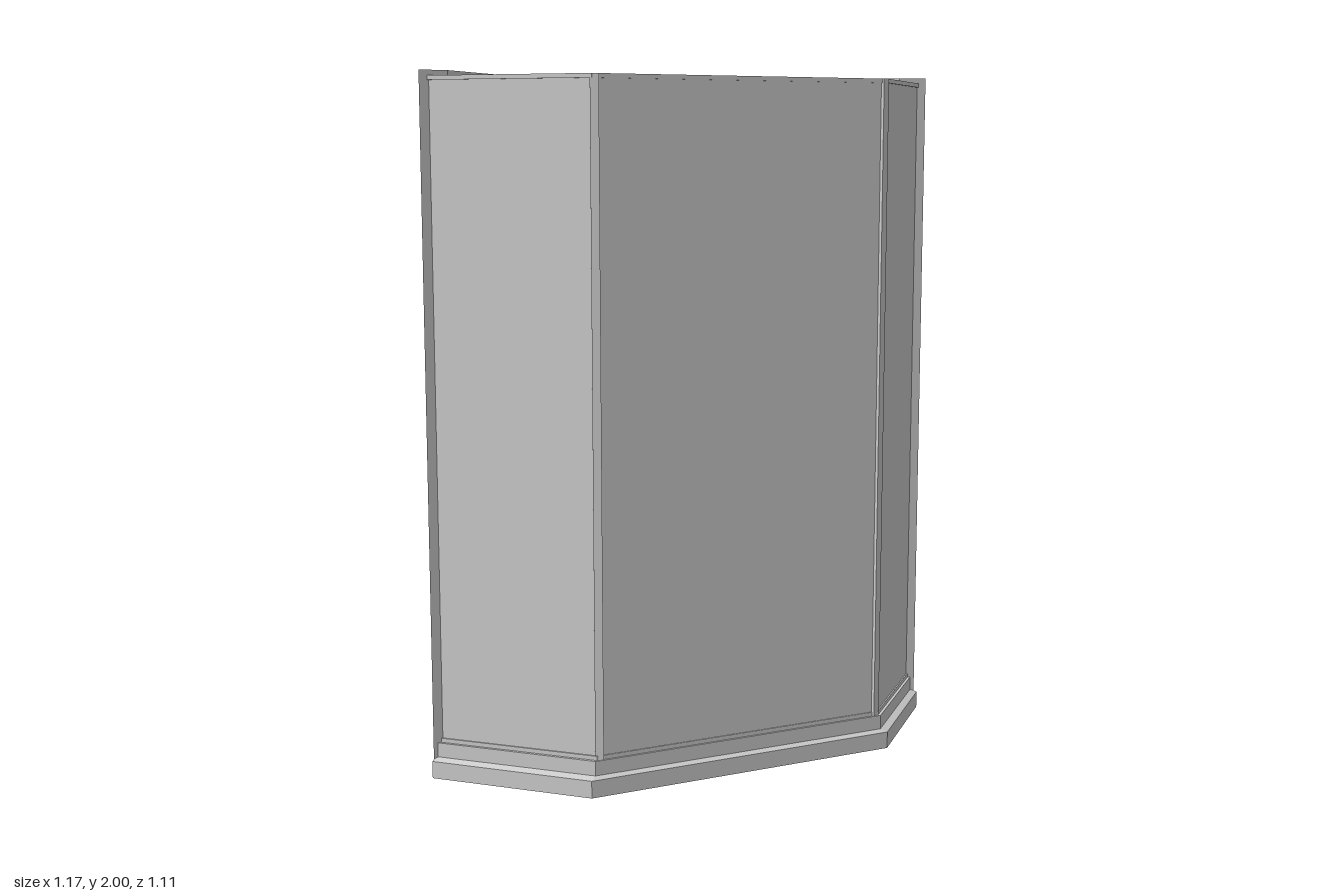
import * as THREE from 'three';

const FLOOR = 0.06, CURB = 0.1, GLASS_TOP = 1.985;
const mat = new THREE.MeshStandardMaterial({ color: 0xcccccc, flatShading: true, side: THREE.DoubleSide });

function mesh(name, geometry) {
  const m = new THREE.Mesh(geometry, mat);
  m.name = name;
  return m;
}

// Vertical prism from a plan outline given as [x, z] pairs.
function prism(points, y0, y1, holes = []) {
  const toPath = (pts) => pts.map(([x, z]) => new THREE.Vector2(x, -z));
  const shape = new THREE.Shape(toPath(points));
  holes.forEach((h) => shape.holes.push(new THREE.Path(toPath(h))));
  const g = new THREE.ExtrudeGeometry(shape, { depth: y1 - y0, bevelEnabled: false });
  return g.rotateX(-Math.PI / 2).translate(0, y0, 0);
}

// The three open sides (front, diagonal, right), moved inward by d.
function openSides(d, inset = 0) {
  const diagonal = 0.453 - d;
  const zB = 0.55 - 1.12 * d, xC = 0.585 - 1.06 * d;
  return [
    [-0.59 + inset, 0.55 - d],
    [diagonal - zB, zB],
    [xC, diagonal - xC],
    [0.585 - d, -0.555 + inset],
  ];
}

// Sweep a closed profile of [inset, height] pairs along the open sides.
function sweep(profile, inset = 0) {
  const rows = profile.map(([d, y]) => openSides(d, inset).map(([x, z]) => [x, y, z]));
  const pos = [];
  rows.forEach((row, i) => {
    const next = rows[(i + 1) % rows.length];
    for (let j = 0; j < 3; j++) {
      pos.push(...row[j], ...row[j + 1], ...next[j + 1], ...row[j], ...next[j + 1], ...next[j]);
    }
  });
  const g = new THREE.BufferGeometry();
  g.setAttribute('position', new THREE.Float32BufferAttribute(pos, 3));
  g.computeVertexNormals();
  return g;
}

const band = (d0, d1, y0, y1) => sweep([[d0, y0], [d0, y1], [d1, y1], [d1, y0]], 0.016);

export function createModel() {
  const group = new THREE.Group();
  group.name = 'cornerShower';

  // Tray: slab, raised floor and the curb with its sloped ledge
  const outer = openSides(0);
  group.add(mesh('traySlab', prism([[-0.59, -0.555], ...outer, [0.585, -0.555]], 0, 0.05)));
  group.add(mesh('trayFloor', prism([[-0.57, -0.535], ...openSides(0.07, 0.02)], 0.05, FLOOR)));
  group.add(mesh('curb', sweep([[0, 0.05], [0.02, 0.058], [0.02, CURB], [0.08, CURB], [0.08, 0.05]])));

  // Two solid walls with mitred ends
  group.add(mesh('walls', prism([
    [-0.59, -0.555], [-0.59, 0.54], [-0.535, 0.475],
    [-0.535, -0.5], [0.505, -0.5], [0.575, -0.555],
  ], 0.05, 2)));

  // Glass panels with slim rails along the bottom and top
  group.add(mesh('glassPanels', band(0.032, 0.044, CURB, GLASS_TOP)));
  group.add(mesh('bottomRail', band(0.028, 0.048, CURB, CURB + 0.012)));
  group.add(mesh('topRail', band(0.028, 0.048, GLASS_TOP - 0.012, GLASS_TOP)));

  // Posts where the panels meet
  const path = openSides(0.042);
  [path[1], path[2]].forEach(([x, z], i) => {
    const post = mesh('cornerPost', new THREE.BoxGeometry(0.024, GLASS_TOP - CURB, 0.024));
    post.position.set(x, (GLASS_TOP + CURB) / 2, z);
    post.rotation.y = i ? Math.PI * 3 / 8 : Math.PI / 8;
    group.add(post);
  });

  // Faceted quarter-round column in the back corner
  const column = [[-0.535, -0.5]];
  for (let i = 0; i <= 5; i++) {
    const a = (i / 5) * Math.PI / 2;
    column.push([-0.535 + 0.33 * Math.sin(a), -0.5 + 0.33 * Math.cos(a)]);
  }
  group.add(mesh('cornerColumn', prism(column, FLOOR, 1.67)));

  // Round drain grate with radial rows of slots
  const circle = [];
  for (let i = 0; i < 32; i++) {
    const a = (i / 32) * Math.PI * 2;
    circle.push([0.073 * Math.cos(a), 0.073 * Math.sin(a)]);
  }
  const slots = [];
  for (let i = 0; i < 10; i++) {
    const a = (i / 10) * Math.PI * 2;
    [[0.016, 0.026, 0.003], [0.032, 0.045, 0.006], [0.051, 0.066, 0.009]].forEach(([r0, r1, w]) => {
      slots.push([[r0, -w], [r1, -w], [r1, w], [r0, w]].map(([r, t]) => [
        r * Math.cos(a) - t * Math.sin(a), r * Math.sin(a) + t * Math.cos(a),
      ]));
    });
  }
  const drain = mesh('drainGrate', prism(circle, 0, 0.004, slots));
  drain.position.set(-0.24, FLOOR, -0.185);
  group.add(drain);

  return group;
}
